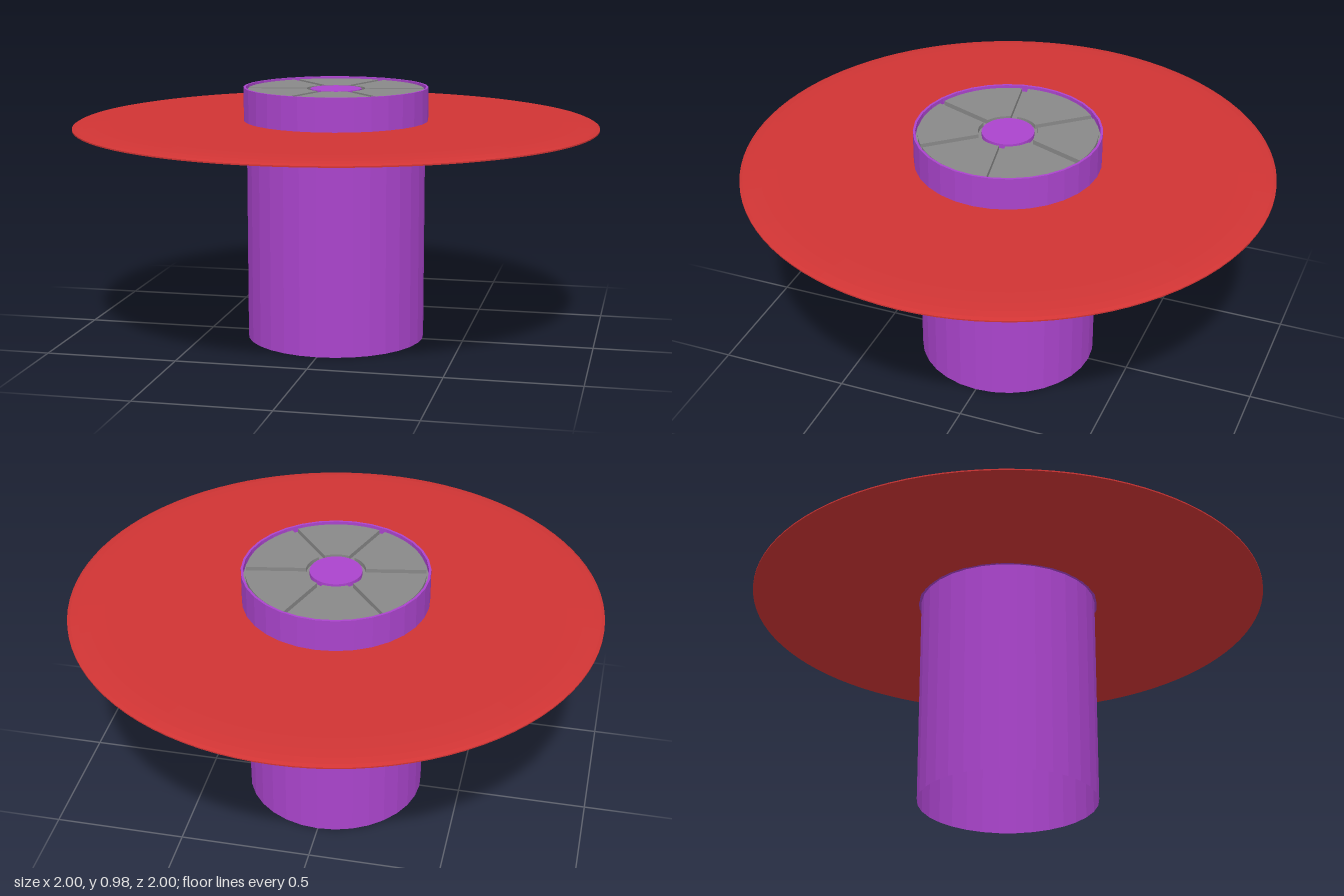
import * as THREE from 'three';

const SIDES = 32, SECTORS = 6;
const mat = (color, flat = true) =>
  new THREE.MeshStandardMaterial({ color, flatShading: flat, side: THREE.DoubleSide });
const purple = mat(0xaa44cc), red = mat(0xd03434), grey = mat(0x888888);

function part(group, name, geometry, material) {
  const mesh = new THREE.Mesh(geometry, material);
  mesh.name = name;
  group.add(mesh);
  return mesh;
}

const lathe = (points, sides) =>
  new THREE.LatheGeometry(points.map(([r, y]) => new THREE.Vector2(r, y)), sides);

// Wedge panel whose straight sides stay parallel to the spoke gaps
function panelShape(inner, outer, halfGap) {
  const half = Math.PI / SECTORS;
  const a = half - Math.asin(halfGap / inner), b = half - Math.asin(halfGap / outer);
  const shape = new THREE.Shape();
  shape.absarc(0, 0, outer, -b, b, false);
  shape.absarc(0, 0, inner, a, -a, true);
  shape.closePath();
  return shape;
}

export function createModel() {
  const model = new THREE.Group();
  model.name = 'flangedTube';

  // Open lower tube
  part(model, 'lowerTube',
    new THREE.CylinderGeometry(0.342, 0.342, 0.945, SIDES, 1, true), purple).position.y = 0.4725;

  // Collar standing through the flange, with a thin rim
  part(model, 'collar', lathe([
    [0.342, 0.828], [0.353, 0.828], [0.353, 0.975], [0.344, 0.975], [0.344, 0.945],
  ], SIDES), purple);

  // Wide thin flange with a rounded upper edge
  part(model, 'flange', lathe([
    [0.35, 0.828], [1, 0.828], [1, 0.833], [0.988, 0.839], [0.96, 0.844],
    [0.92, 0.847], [0.86, 0.848], [0.35, 0.848], [0.35, 0.828],
  ], 96), red);

  // Recessed plate under the panels
  part(model, 'panelBase',
    new THREE.CylinderGeometry(0.344, 0.344, 0.01, SIDES), grey).position.y = 0.945;

  // Central hub
  part(model, 'hub',
    new THREE.CylinderGeometry(0.098, 0.098, 0.025, SIDES), purple).position.y = 0.9555;

  // Six wedge panels separated by narrow gaps
  const panel = new THREE.ExtrudeGeometry(panelShape(0.112, 0.335, 0.012),
    { depth: 0.018, bevelEnabled: false, curveSegments: 8 });
  panel.rotateX(-Math.PI / 2);
  for (let i = 0; i < SECTORS; i++) {
    const mesh = part(model, 'panel' + (i + 1), panel, grey);
    mesh.position.y = 0.95;
    mesh.rotation.y = THREE.MathUtils.degToRad(40 + i * 60);
  }
  return model;
}
